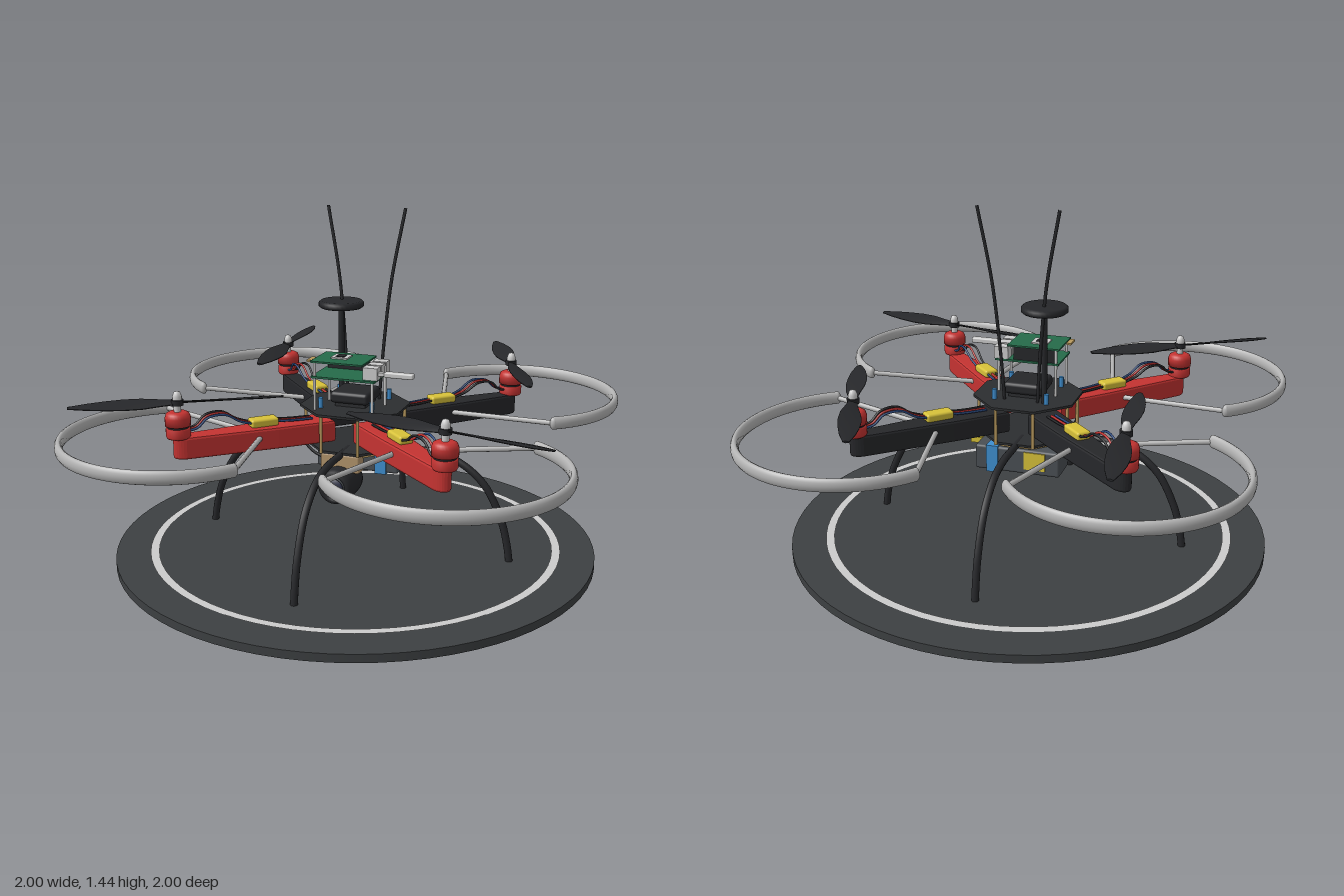
import * as THREE from 'three';
import { RoundedBoxGeometry } from 'three/addons/geometries/RoundedBoxGeometry.js';

const mat = (color) => new THREE.MeshStandardMaterial({ color });
const M = {
  black: mat(0x26272a), carbon: mat(0x2c2e30), pad: mat(0x3d4042), red: mat(0xc43331), grey: mat(0xb4b4b4),
  yellow: mat(0xd8c23a), gold: mat(0xb99a5e), blue: mat(0x3f8fd0), navy: mat(0x2a4a80), green: mat(0x256b4a),
  silver: mat(0xc8c8c8), slate: mat(0x4a4f54), tan: mat(0xb2946c), lens: mat(0x30344a),
};
const V = (x, y, z) => new THREE.Vector3(x, y, z);

function add(parent, name, geo, material, x = 0, y = 0, z = 0) {
  const m = new THREE.Mesh(geo, material);
  m.name = name;
  m.position.set(x, y, z);
  parent.add(m);
  return m;
}
const box = (p, name, material, w, h, d, x, y, z) => add(p, name, new THREE.BoxGeometry(w, h, d), material, x, y, z);
const rbox = (p, name, material, w, h, d, x, y, z, r = 0.01) =>
  add(p, name, new RoundedBoxGeometry(w, h, d, 2, r), material, x, y, z);
const cyl = (p, name, material, r, y0, y1, x = 0, z = 0, seg = 20, rTop = r) =>
  add(p, name, new THREE.CylinderGeometry(rTop, r, y1 - y0, seg), material, x, (y0 + y1) / 2, z);
const tube = (p, name, material, pts, r, seg = 24, sides = 8) =>
  add(p, name, new THREE.TubeGeometry(new THREE.CatmullRomCurve3(pts), seg, r, sides), material);
const lathe = (pts, seg = 28) => new THREE.LatheGeometry(pts.map(([r, y]) => new THREE.Vector2(r, y)), seg);

// Tapered arm with bevelled edges, pointing along +x
function armGeometry() {
  const b = 0.01;
  const s = new THREE.Shape();
  s.moveTo(0.12 + b, -0.055);
  s.lineTo(0.36, -0.048);
  s.lineTo(0.73, -0.026);
  s.quadraticCurveTo(0.762, -0.02, 0.765, 0);
  s.quadraticCurveTo(0.762, 0.02, 0.73, 0.026);
  s.lineTo(0.36, 0.048);
  s.lineTo(0.12 + b, 0.055);
  s.closePath();
  const g = new THREE.ExtrudeGeometry(s, { depth: 0.09 - 2 * b, bevelSize: b, bevelThickness: b, bevelSegments: 2, curveSegments: 6 });
  return g.rotateX(-Math.PI / 2).translate(0, 0.515 + b, 0);
}

// Twisted blade: a box whose chord and pitch follow its length
function bladeGeometry() {
  const len = 0.41;
  const chord = [0.028, 0.05, 0.078, 0.086, 0.078, 0.058, 0.022];
  const g = new THREE.BoxGeometry(1, 1, 1, 18, 1, 2);
  const p = g.attributes.position;
  for (let i = 0; i < p.count; i++) {
    const t = p.getX(i) + 0.5;
    const k = Math.min(t * 6, 5.999), j = Math.floor(k);
    const c = THREE.MathUtils.lerp(chord[j], chord[j + 1], k - j);
    const pitch = 0.35 - 0.25 * t;
    const z = p.getZ(i) * c;
    const y = p.getY(i) * (Math.abs(p.getZ(i)) > 0.4 ? 0.003 : 0.009);
    p.setXYZ(i, t * len, y + z * Math.sin(pitch), z * Math.cos(pitch));
  }
  g.computeVertexNormals();
  return g;
}

// Arm, speed controller, wires, motor and guard, built along local +x
function buildArm(armMat) {
  const g = new THREE.Group();
  const R = 0.753;
  add(g, 'arm', armGeometry(), armMat);
  rbox(g, 'speedController', M.yellow, 0.115, 0.034, 0.06, 0.405, 0.62, 0);
  [M.navy, M.red, M.black].forEach((m, i) => {
    const z = (i - 1) * 0.018;
    tube(g, 'motorWire', m, [V(0.45, 0.62, z), V(0.51, 0.64, z * 1.3), V(0.57, 0.675, z * 1.5), V(0.64, 0.67, z * 1.2),
      V(0.68, 0.635, z), V(R - 0.03, 0.625, z * 0.8)], 0.005, 24, 6);
    tube(g, 'powerWire', m, [V(0.35, 0.62, z), V(0.29, 0.615, z), V(0.2, 0.612, z)], 0.005, 10, 6);
  });
  // motor
  add(g, 'motorBase', lathe([[0, 0.6], [0.044, 0.6], [0.048, 0.608], [0.048, 0.637], [0.04, 0.642], [0, 0.642]]), M.red, R);
  cyl(g, 'motorCore', M.black, 0.042, 0.638, 0.652, R);
  add(g, 'motorBell', lathe([[0, 0.65], [0.05, 0.65], [0.05, 0.682], [0.045, 0.697], [0.032, 0.704], [0, 0.705]]), M.red, R);
  cyl(g, 'motorShaft', M.silver, 0.014, 0.7, 0.733, R);
  // guard: tall oval tube swept 200 degrees around the motor
  const half = THREE.MathUtils.degToRad(100), r = 0.447, cx = 0.757, gy = 0.595;
  const guard = add(g, 'propellerGuard', new THREE.TorusGeometry(r, 0.016, 12, 64, half * 2).rotateZ(-half).rotateX(-Math.PI / 2), M.grey, cx, gy);
  guard.scale.y = 1.7;
  for (const s of [-1, 1]) {
    const ex = cx + r * Math.cos(half), ez = s * r * Math.sin(half);
    add(g, 'guardEnd', new THREE.SphereGeometry(0.016, 12, 8), M.grey, ex, gy, ez).scale.y = 1.7;
    tube(g, 'guardStrut', M.grey, [V(ex, gy, ez), V((ex + 0.43) / 2, 0.58, (ez + s * 0.035) / 2), V(0.43, 0.565, s * 0.035)], 0.011, 8);
  }
  return g;
}

function buildPropeller() {
  const g = new THREE.Group();
  g.name = 'propeller';
  const geo = bladeGeometry();
  for (const a of [0, Math.PI]) add(g, 'blade', geo, M.black).rotation.y = a;
  cyl(g, 'propellerHub', M.black, 0.024, -0.011, 0.011);
  add(g, 'propellerNut', lathe([[0.018, 0.01], [0.018, 0.025], [0.012, 0.041], [0, 0.045]], 16), M.silver);
  return g;
}

export function createModel() {
  const model = new THREE.Group();
  model.name = 'droneOnPad';

  // landing pad with its painted ring
  cyl(model, 'landingPad', M.pad, 1, 0.012, 0.045, 0, 0, 72);
  add(model, 'padRing', new THREE.RingGeometry(0.825, 0.86, 72).rotateX(-Math.PI / 2), M.silver, 0, 0.049);

  // four arms with propellers turned to different angles: [x sign, z sign, blade dx, blade dz]
  for (const [sx, sz, dx, dz] of [[-1, 1, 0.35, -0.22], [1, 1, 0.4, 0.09], [1, -1, 0.16, 0.385], [-1, -1, 0.04, 0.41]]) {
    const arm = buildArm(sz > 0 ? M.red : M.black);
    arm.name = (sz > 0 ? 'front' : 'back') + (sx > 0 ? 'Left' : 'Right') + 'Arm';
    arm.rotation.y = Math.atan2(-sz, sx);
    const prop = buildPropeller();
    prop.position.set(sx * 0.532, 0.741, sz * 0.532);
    prop.rotation.y = Math.atan2(-dz, dx);
    model.add(arm, prop);
  }

  // bowed landing legs
  for (let i = 0; i < 4; i++) {
    const leg = tube(model, 'landingLeg', M.black, [V(0.08, 0.476, 0), V(0.22, 0.477, 0), V(0.33, 0.474, 0), V(0.44, 0.446, 0), V(0.55, 0.362, 0),
      V(0.625, 0.222, 0), V(0.655, 0.11, 0), V(0.669, 0.012, 0)], 0.015, 40, 10);
    leg.rotation.y = i * Math.PI / 2;
    add(leg, 'legFoot', new THREE.SphereGeometry(0.016, 12, 8), M.black, 0.669, 0.016, 0);
  }

  // octagonal centre plates and their spacers
  for (const [name, y, r, m] of [['topPlate', 0.642, 0.228, M.carbon], ['bottomPlate', 0.484, 0.2, M.carbon], ['batteryPlate', 0.467, 0.17, M.gold]])
    cyl(model, name, m, r, y - 0.005, y + 0.005, 0, 0, 8).rotation.y = Math.PI / 8;
  for (let i = 0; i < 8; i++) {
    const a = (i + 0.5) * Math.PI / 4;
    cyl(model, 'plateSpacer', M.gold, 0.007, 0.48, 0.64, 0.205 * Math.cos(a), 0.205 * Math.sin(a), 8);
  }
  for (const sx of [-1, 1]) for (const sz of [-1, 1])
    cyl(model, 'rubberMount', M.blue, 0.01, 0.645, 0.69, sx * 0.11, sz * 0.11, 10);

  // flight controller
  rbox(model, 'flightController', M.black, 0.165, 0.048, 0.165, 0, 0.686, 0, 0.015);
  box(model, 'controllerBase', M.carbon, 0.13, 0.02, 0.13, 0, 0.655, 0);

  // satellite receiver on its mast, and two whip antennas
  cyl(model, 'receiverMast', M.black, 0.012, 0.645, 1.03, -0.098, -0.098, 12);
  add(model, 'receiverDisc', lathe([[0, 1.025], [0.085, 1.025], [0.094, 1.032], [0.094, 1.047], [0.085, 1.055], [0, 1.056]], 32), M.black, -0.098, 0, -0.098);
  for (const s of [-1, 1])
    tube(model, 'antenna', M.black, [V(s * 0.07, 0.645, -0.1), V(s * 0.083, 0.85, -0.108), V(s * 0.112, 1.14, -0.12), V(s * 0.166, 1.44, -0.132)], 0.007, 24, 8);

  // computer board stack
  const board = new THREE.Group();
  board.name = 'computerBoard';
  model.add(board);
  box(board, 'mainBoard', M.green, 0.27, 0.008, 0.18, 0.002, 0.785, 0.07);
  box(board, 'upperBoard', M.green, 0.22, 0.007, 0.18, -0.025, 0.848, 0.07);
  box(board, 'chip', M.silver, 0.07, 0.006, 0.07, -0.038, 0.854, 0.06);
  box(board, 'chipCore', M.black, 0.036, 0.006, 0.036, -0.038, 0.857, 0.06);
  box(board, 'memoryCard', M.gold, 0.02, 0.008, 0.06, -0.148, 0.846, 0.11);
  box(board, 'pinHeader', M.black, 0.18, 0.055, 0.018, -0.03, 0.817, -0.005);
  for (const z of [0.005, 0.065, 0.122]) box(board, 'port', M.silver, 0.06, 0.05, 0.045, 0.113, 0.814, z);
  rbox(board, 'radioStick', M.silver, 0.12, 0.022, 0.03, 0.228, 0.814, 0.122, 0.006);
  box(board, 'stickPlug', M.silver, 0.04, 0.014, 0.022, 0.15, 0.814, 0.122);
  for (const x of [-0.12, 0.125]) for (const z of [-0.01, 0.15])
    cyl(board, 'boardPost', M.silver, 0.006, 0.645, x < 0 ? 0.848 : 0.785, x, z, 8);

  // battery with strap, label and plug
  const battery = new THREE.Group();
  battery.name = 'battery';
  model.add(battery);
  rbox(battery, 'batteryPack', M.slate, 0.36, 0.105, 0.14, 0, 0.403, -0.088);
  box(battery, 'batteryStrap', M.blue, 0.05, 0.115, 0.152, 0.105, 0.403, -0.088);
  box(battery, 'batteryLabel', M.yellow, 0.09, 0.075, 0.148, -0.075, 0.41, -0.088);
  box(battery, 'batteryPlug', M.yellow, 0.05, 0.024, 0.03, 0.2, 0.444, -0.07);
  tube(battery, 'batteryLead', M.red, [V(0.2, 0.444, -0.07), V(0.215, 0.47, -0.04), V(0.18, 0.51, 0.03), V(0.17, 0.56, 0.06)], 0.006, 16, 6);
  tube(battery, 'cameraLead', M.black, [V(-0.18, 0.53, 0.1), V(-0.17, 0.49, 0.12), V(-0.12, 0.455, 0.13), V(-0.06, 0.44, 0.13)], 0.006, 16, 6);

  // round camera hung from a bracket
  const camera = new THREE.Group();
  camera.name = 'camera';
  camera.position.set(0, 0.36, 0.17);
  model.add(camera);
  rbox(camera, 'cameraBracket', M.tan, 0.165, 0.075, 0.06, 0, 0.083, -0.015, 0.008);
  add(camera, 'cameraBody', lathe([[0, -0.084], [0.055, -0.084], [0.068, -0.074], [0.072, -0.05], [0.072, 0.06], [0.066, 0.08],
    [0.056, 0.086], [0.048, 0.084], [0.044, 0.07], [0, 0.068]], 36).rotateX(Math.PI / 2), M.black);
  add(camera, 'lensRing', new THREE.TorusGeometry(0.042, 0.004, 8, 32), M.slate, 0, 0, 0.08);
  const lens = add(camera, 'lensGlass', new THREE.SphereGeometry(0.038, 24, 12), M.lens, 0, 0, 0.068);
  lens.scale.z = 0.4;
  return model;
}
